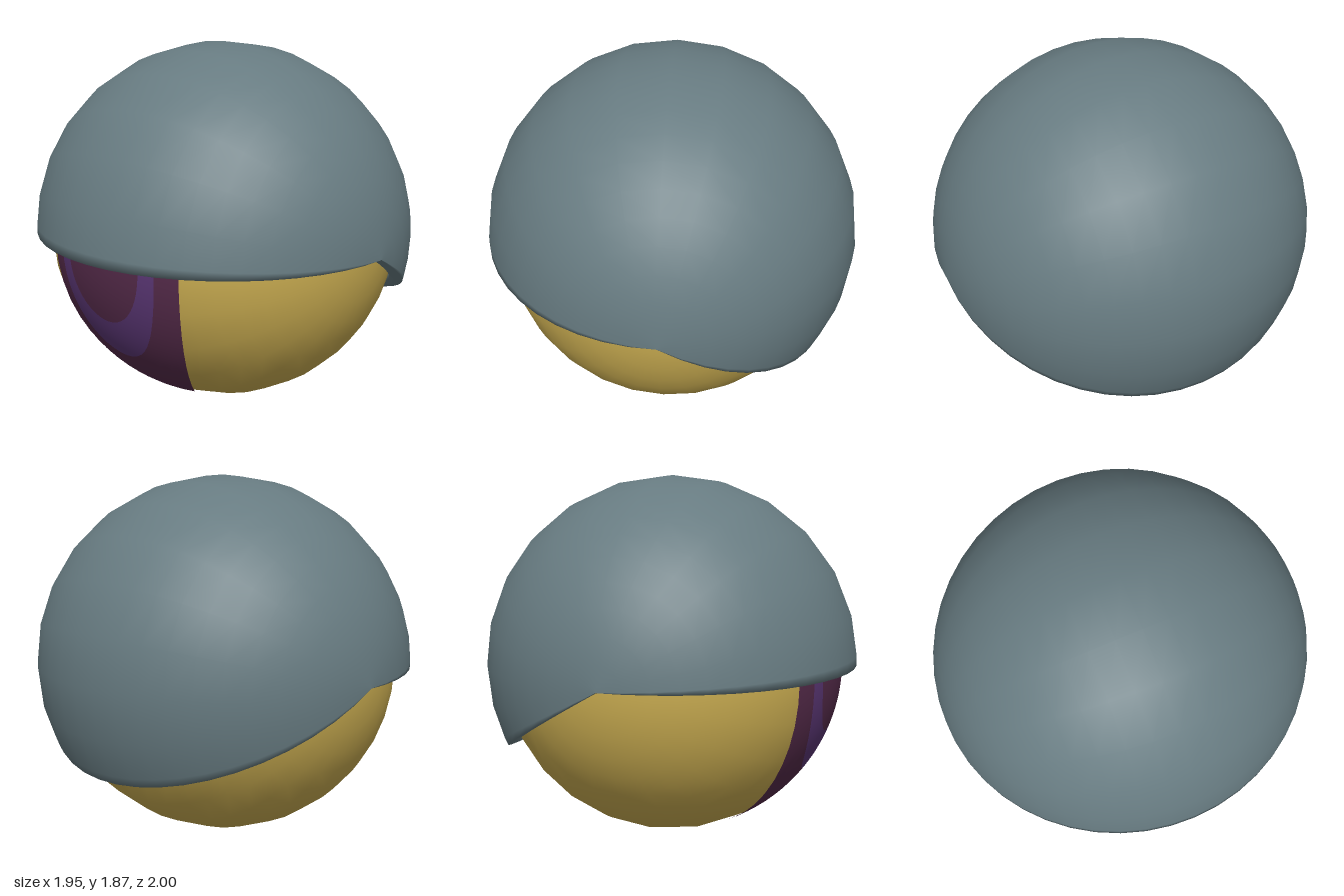
import * as THREE from 'three';

const CENTRE_Y = 0.897;
const BALL_R = 0.897;
const STRETCH = 1.026; // the ball is a little longer along its hinge axis (z)
const DEG = Math.PI / 180;

const mat = (name, color) => {
  const m = new THREE.MeshStandardMaterial({ color });
  m.name = name;
  return m;
};

// Smooth surface from a grid of points: rows run along v, columns wrap around u.
function wrappedGrid(point, columns, rows) {
  const positions = [];
  const index = [];
  for (let j = 0; j <= rows; j++) {
    for (let i = 0; i < columns; i++) positions.push(...point(i, j));
  }
  for (let j = 0; j < rows; j++) {
    for (let i = 0; i < columns; i++) {
      const next = (i + 1) % columns;
      const a = j * columns + i, b = a + columns;
      const c = (j + 1) * columns + next, d = j * columns + next;
      index.push(a, b, c, a, c, d);
    }
  }
  const g = new THREE.BufferGeometry();
  g.setAttribute('position', new THREE.Float32BufferAttribute(positions, 3));
  g.setIndex(index);
  g.computeVertexNormals();
  return g;
}

// Thick lid: a closed outer/inner section swept from hinge pole to hinge pole.
function lidGeometry(outer, inner, from, to) {
  const angles = [from, from + 3];
  for (let a = from + 15; a < to; a += 15) angles.push(a);
  angles.push(to - 3, to);
  const section = [
    ...angles.map((a) => [outer, a * DEG]),
    ...angles.slice().reverse().map((a) => [inner, a * DEG]),
  ];
  const rows = 24;
  return wrappedGrid((i, j) => {
    const [r, phi] = section[i];
    const theta = (j / rows) * Math.PI;
    const s = r * Math.sin(theta);
    return [s * Math.cos(phi), s * Math.sin(phi), r * STRETCH * Math.cos(theta)];
  }, section.length, rows);
}

// Elliptical ring lying on the -x side of the ball; sizes are [half width, half height].
function eyeRing(innerSize, outerSize) {
  const r = BALL_R + 0.003;
  const columns = 48, rows = 8;
  return wrappedGrid((i, j) => {
    const t = (i / columns) * Math.PI * 2;
    const k = j / rows;
    const z = THREE.MathUtils.lerp(innerSize[0], outerSize[0], k) * Math.cos(t);
    const y = THREE.MathUtils.lerp(innerSize[1], outerSize[1], k) * Math.sin(t);
    const x = -Math.sqrt(Math.max(0, r * r - y * y - (z / STRETCH) ** 2));
    return [x, y, z];
  }, columns, rows);
}

export function createModel() {
  const group = new THREE.Group();
  group.name = 'liddedEye';

  const gold = mat('gold', 0xc8ab50);
  const slate = mat('slate', 0x677b81);
  const violet = mat('violet', 0x5a3674);
  const maroon = mat('maroon', 0x542a49);

  const add = (name, geometry, material) => {
    const mesh = new THREE.Mesh(geometry, material);
    mesh.name = name;
    mesh.position.y = CENTRE_Y;
    group.add(mesh);
  };

  // Eyeball, poles on the hinge axis
  const ball = new THREE.SphereGeometry(BALL_R, 24, 24);
  ball.rotateX(Math.PI / 2);
  ball.scale(1, 1, STRETCH);
  add('eyeball', ball, gold);

  // Eye markings, from the middle outwards
  const pupil = [0.24, 0.32], iris = [0.32, 0.53], rim = [0.43, 0.85];
  add('pupil', eyeRing([0, 0], pupil), maroon);
  add('iris', eyeRing(pupil, iris), violet);
  add('irisRim', eyeRing(iris, rim), maroon);

  // Eyelid, reaching 30 degrees lower behind the eye
  add('eyelid', lidGeometry(0.975, 0.908, -30, 180), slate);

  return group;
}
